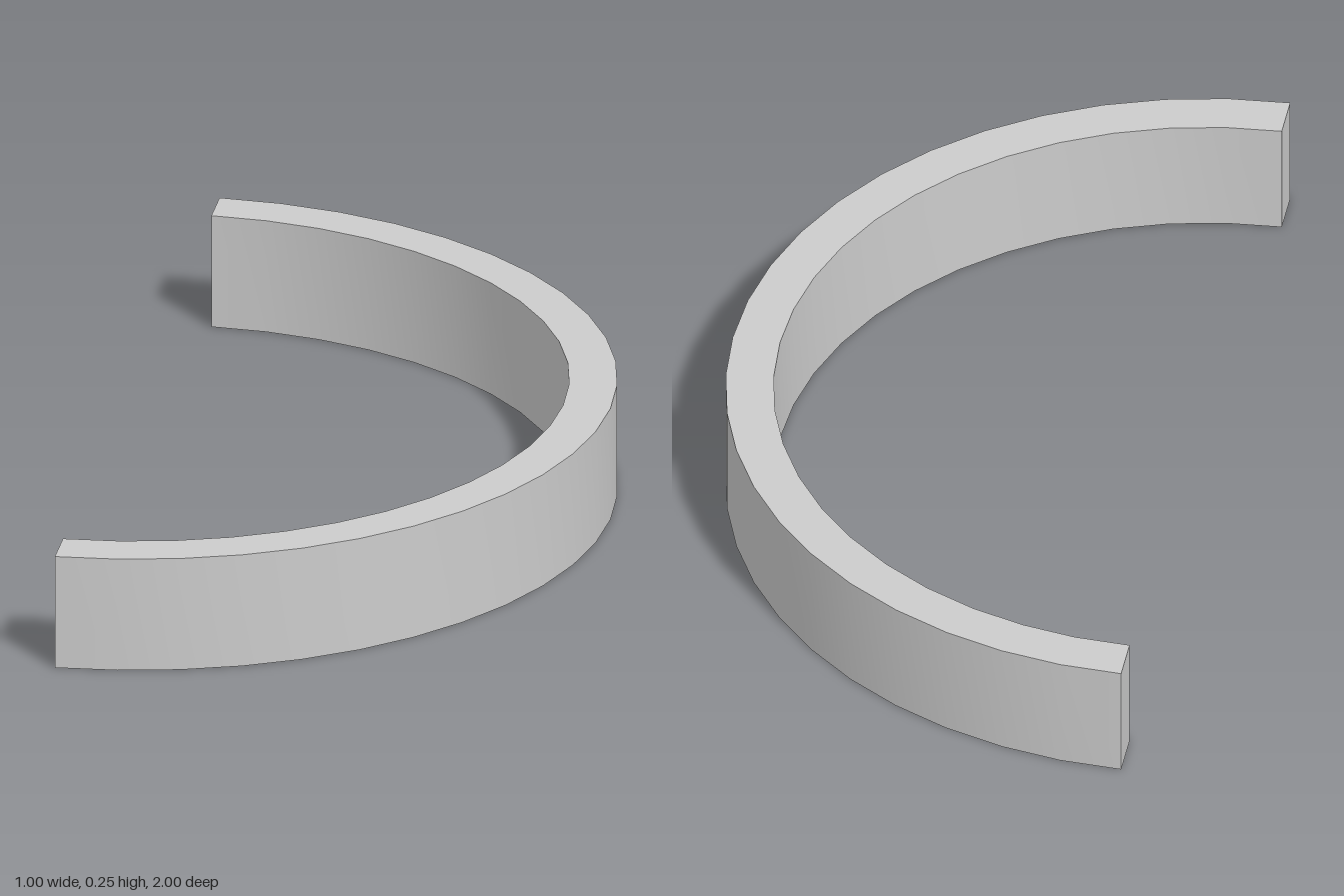
import * as THREE from 'three';
import { toCreasedNormals } from 'three/addons/utils/BufferGeometryUtils.js';

export function createModel() {
  const group = new THREE.Group();
  group.name = 'halfRing';

  // Half annulus outline: outer arc one way, inner arc back
  const outline = new THREE.Shape();
  outline.absarc(-0.5, 0, 1, -Math.PI / 2, Math.PI / 2, false);
  outline.absarc(-0.5, 0, 0.9, Math.PI / 2, -Math.PI / 2, true);

  // Extruded upwards, 24 facets along each arc, smooth walls and sharp rims
  const band = new THREE.ExtrudeGeometry(outline, {
    depth: 0.25, bevelEnabled: false, curveSegments: 12,
  });
  band.rotateX(-Math.PI / 2);

  const mesh = new THREE.Mesh(
    toCreasedNormals(band, Math.PI / 6),
    new THREE.MeshStandardMaterial({ color: 0xcccccc }),
  );
  mesh.name = 'curvedBand';
  group.add(mesh);
  return group;
}
